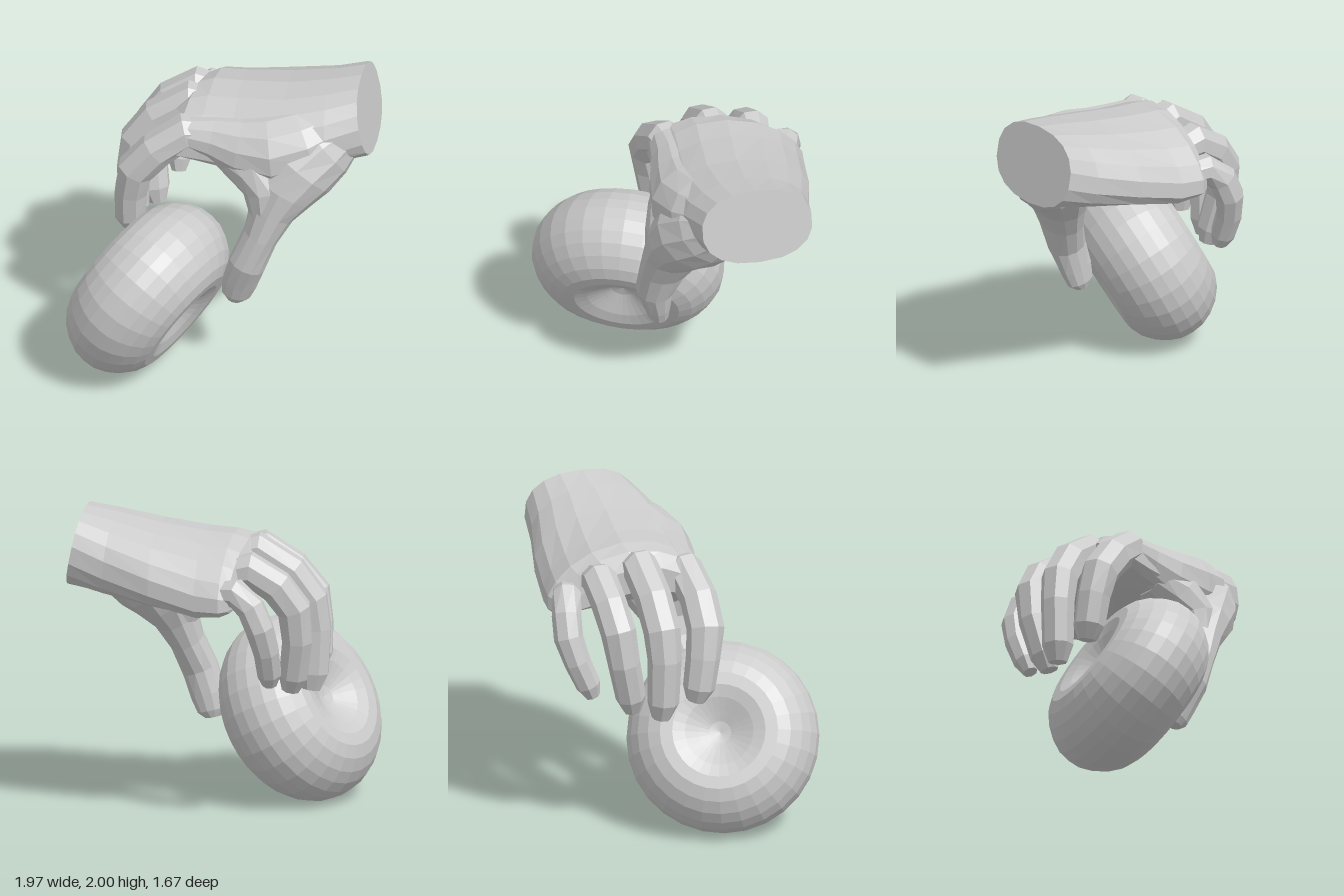
import * as THREE from 'three';

const V = (x, y, z) => new THREE.Vector3(x, y, z);
const material = new THREE.MeshStandardMaterial({ color: 0xcccccc, flatShading: true });

// Skin a list of closed rings and cap both ends
function loft(name, rings) {
  const pos = [];
  const tri = (...pts) => pts.forEach((p) => pos.push(p.x, p.y, p.z));
  const centre = (ring) => ring.reduce((s, p) => s.add(p), V(0, 0, 0)).divideScalar(ring.length);
  const n = rings[0].length;
  const first = rings[0], last = rings[rings.length - 1];
  const c0 = centre(first), c1 = centre(last);
  for (let i = 0; i < n; i++) {
    const j = (i + 1) % n;
    for (let k = 0; k < rings.length - 1; k++) {
      const a = rings[k], b = rings[k + 1];
      tri(a[i], a[j], b[j]);
      tri(a[i], b[j], b[i]);
    }
    tri(c0, first[j], first[i]);
    tri(c1, last[i], last[j]);
  }
  const geometry = new THREE.BufferGeometry();
  geometry.setAttribute('position', new THREE.Float32BufferAttribute(pos, 3));
  geometry.computeVertexNormals();
  const mesh = new THREE.Mesh(geometry, material);
  mesh.name = name;
  return mesh;
}

// Limb through stations [x, y, z, half thickness, half width along z]
function limb(name, stations, sides = 8) {
  const centres = stations.map((s) => V(s[0], s[1], s[2]));
  const rings = stations.map((s, k) => {
    const next = centres[Math.min(k + 1, centres.length - 1)];
    const t = next.clone().sub(centres[Math.max(k - 1, 0)]).normalize();
    const b = V(0, 0, 1).addScaledVector(t, -t.z).normalize();
    const n = b.clone().cross(t);
    return Array.from({ length: sides }, (_, i) => {
      const a = ((i + 0.5) / sides) * Math.PI * 2;
      return centres[k].clone()
        .addScaledVector(n, Math.cos(a) * s[3])
        .addScaledVector(b, Math.sin(a) * s[4]);
    });
  });
  return loft(name, rings);
}

// Palm and wrist: arched rounded sections from the cut wrist to the knuckles
function palm() {
  // x, centre y, half height, centre z, half width, arch, slant of the cut, skew of the knuckles
  const stations = [
    [0.92, 1.75, 0.25, -0.165, 0.36, 0, 0.2, 0.1],
    [0.7, 1.71, 0.25, -0.165, 0.41, 0.03, 0.1, 0.1],
    [0.4, 1.665, 0.24, -0.2, 0.48, 0.06, 0, 0.1],
    [0.1, 1.64, 0.23, -0.26, 0.49, 0.1, 0, 0.1],
    [-0.08, 1.66, 0.2, -0.295, 0.49, 0.12, 0, 0.15],
    [-0.18, 1.67, 0.16, -0.29, 0.47, 0.13, 0, 0.25],
    [-0.26, 1.66, 0.08, -0.26, 0.39, 0.13, 0, 0.35],
  ];
  const sides = 18;
  const soft = (v) => Math.sign(v) * Math.abs(v) ** 0.85;
  return loft('palm', stations.map(([x, yc, h, zc, w, arch, slant, skew]) =>
    Array.from({ length: sides }, (_, i) => {
      const a = (i / sides) * Math.PI * 2;
      const u = soft(Math.sin(a));
      const y = yc - soft(Math.cos(a)) * h - arch * (u - 0.2) ** 2;
      return V(x - slant * (y - yc) - skew * u * w, y, zc + u * w);
    })));
}

// Thick round body with a soft hollow on both faces
function dimpledBall() {
  const half = [[0.612, 0.08], [0.58, 0.155], [0.53, 0.225], [0.46, 0.285], [0.38, 0.32],
    [0.3, 0.322], [0.22, 0.297], [0.14, 0.255], [0.07, 0.22], [0, 0.205]];
  const upper = [[0.62, 0], ...half].map(([r, y]) => new THREE.Vector2(r, y));
  const lower = half.map(([r, y]) => new THREE.Vector2(r, -y)).reverse();
  const mesh = new THREE.Mesh(new THREE.LatheGeometry([...lower, ...upper], 28), material);
  mesh.name = 'dimpledBall';
  mesh.position.set(-0.475, 0.58, 0.24);
  mesh.quaternion.setFromUnitVectors(V(0, 1, 0), V(-0.77, 0.48, -0.42).normalize());
  return mesh;
}

export function createModel() {
  const model = new THREE.Group();
  const hand = new THREE.Group();
  hand.name = 'hand';
  hand.add(palm());

  // Four curled fingers: joint centres and their radii
  const radii = [0.85, 1.1, 1.08, 1.08, 0.98, 0.92, 0.55];
  const fingers = {
    indexFinger: [0.113, [[0.02, 1.63, 0.02], [-0.25, 1.67, 0.07], [-0.43, 1.54, 0.09],
      [-0.565, 1.38, 0.08], [-0.595, 1.2, 0.05], [-0.6, 1.0, 0.02], [-0.59, 0.91, 0]]],
    middleFinger: [0.111, [[0.05, 1.66, -0.23], [-0.23, 1.73, -0.23], [-0.44, 1.59, -0.23],
      [-0.57, 1.41, -0.225], [-0.6, 1.22, -0.22], [-0.59, 0.93, -0.225], [-0.575, 0.82, -0.235]]],
    ringFinger: [0.106, [[0.06, 1.61, -0.47], [-0.2, 1.67, -0.5], [-0.37, 1.56, -0.505],
      [-0.48, 1.41, -0.49], [-0.5, 1.2, -0.46], [-0.47, 0.95, -0.4], [-0.45, 0.85, -0.38]]],
    littleFinger: [0.088, [[0.14, 1.54, -0.6], [-0.12, 1.56, -0.695], [-0.22, 1.47, -0.74],
      [-0.275, 1.34, -0.75], [-0.315, 1.18, -0.705], [-0.33, 1.02, -0.635], [-0.33, 0.94, -0.605]]],
  };
  for (const [name, [r, joints]] of Object.entries(fingers)) {
    hand.add(limb(name, joints.map((p, i) => [...p, r * radii[i], r * radii[i]])));
  }

  // Thumb, widening into the heel of the palm
  hand.add(limb('thumb', [
    [0.78, 1.71, -0.04, 0.17, 0.2],
    [0.62, 1.6, 0.04, 0.25, 0.26],
    [0.48, 1.47, 0.11, 0.26, 0.28],
    [0.39, 1.33, 0.165, 0.21, 0.25],
    [0.32, 1.19, 0.205, 0.15, 0.205],
    [0.25, 1.02, 0.245, 0.115, 0.165],
    [0.165, 0.82, 0.275, 0.12, 0.125],
    [0.115, 0.66, 0.245, 0.115, 0.09],
    [0.09, 0.56, 0.23, 0.095, 0.07],
    [0.08, 0.515, 0.225, 0.05, 0.045],
  ], 12));

  // Muscle along the thumb side of the palm
  hand.add(limb('thumbMuscle', [
    [0.78, 1.74, -0.02, 0.17, 0.18],
    [0.52, 1.64, 0.06, 0.24, 0.25],
    [0.3, 1.59, 0.1, 0.25, 0.25],
    [0.1, 1.6, 0.09, 0.21, 0.2],
    [-0.08, 1.64, 0.07, 0.155, 0.15],
    [-0.28, 1.67, 0.07, 0.1, 0.1],
  ], 12));

  // Web of skin between thumb and index finger
  hand.add(limb('thumbWeb', [
    [0.02, 1.57, 0.08, 0.14, 0.14],
    [0.2, 1.5, 0.12, 0.2, 0.2],
    [0.3, 1.34, 0.17, 0.17, 0.21],
    [0.29, 1.14, 0.215, 0.11, 0.165],
  ], 12));

  model.add(hand, dimpledBall());
  return model;
}
